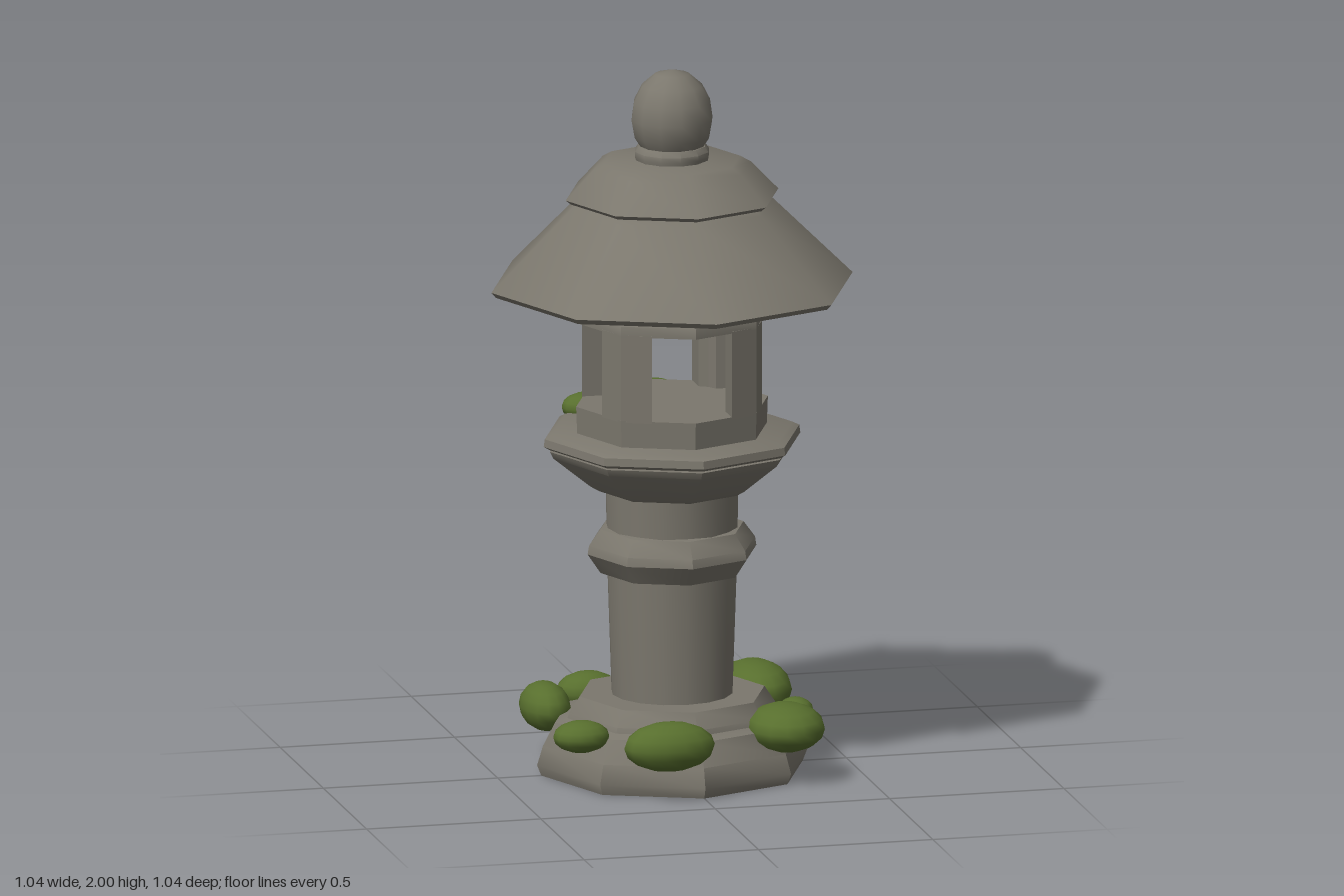
import * as THREE from 'three';
import { toCreasedNormals } from 'three/addons/utils/BufferGeometryUtils.js';

const stone = new THREE.MeshStandardMaterial({ color: 0x7b776d });
stone.name = 'weathered stone';
const moss = new THREE.MeshStandardMaterial({ color: 0x586f2e });
moss.name = 'moss green';

// Turned stone block: [radius, height] profile from bottom to top, octagon corners on the axes
function turned(name, profile, sides = 8) {
  const points = profile.map(([r, y]) => new THREE.Vector2(r, y));
  const geometry = toCreasedNormals(new THREE.LatheGeometry(points, sides), 0.7);
  const mesh = new THREE.Mesh(geometry, stone);
  mesh.name = name;
  return mesh;
}

// Flattened moss cushion
function cushion(name, [x, y, z, hx, hy, hz]) {
  const mesh = new THREE.Mesh(new THREE.SphereGeometry(1, 14, 8), moss);
  mesh.position.set(x, y, z);
  mesh.scale.set(hx, hy, hz);
  mesh.name = name;
  return mesh;
}

export function createModel() {
  const lantern = new THREE.Group();
  lantern.name = 'stoneLantern';

  // Foot and column
  lantern.add(
    turned('base', [[0, 0], [0.375, 0], [0.387, 0.03], [0.37, 0.085], [0.335, 0.15], [0.3, 0.16],
      [0.295, 0.175], [0.265, 0.22], [0, 0.22]]),
    turned('column', [[0.17, 0.21], [0.182, 0.57], [0.187, 0.82]], 16),
    turned('columnRing', [[0.17, 0.57], [0.205, 0.57], [0.242, 0.625], [0.238, 0.65], [0.205, 0.695], [0.17, 0.7]]),
  );

  // Platform: flared bowl and thin lip
  lantern.add(
    turned('platformBowl', [[0, 0.805], [0.21, 0.805], [0.235, 0.82], [0.34, 0.905], [0.35, 0.925], [0, 0.93]]),
    turned('platformLip', [[0, 0.925], [0.35, 0.93], [0.368, 0.94], [0.365, 0.962], [0.345, 0.972], [0, 0.98]]),
  );

  // Fire box: two bands joined by four corner posts with open windows between
  const fireBox = new THREE.Group();
  fireBox.name = 'fireBox';
  fireBox.add(
    turned('fireBoxSill', [[0, 0.97], [0.272, 0.97], [0.275, 1.05], [0, 1.05]]),
    turned('fireBoxHead', [[0, 1.29], [0.275, 1.29], [0.275, 1.32], [0.265, 1.335], [0, 1.335]]),
  );
  const postShape = new THREE.Shape(
    [[0.115, 0.155], [0.14, 0.14], [0.155, 0.115], [0.23, 0.115], [0.194, 0.194], [0.115, 0.23]]
      .map(([x, y]) => new THREE.Vector2(x, y)));
  const postGeometry = new THREE.ExtrudeGeometry(postShape, { depth: 0.25, bevelEnabled: false });
  postGeometry.rotateX(-Math.PI / 2);
  for (let i = 0; i < 4; i++) {
    const post = new THREE.Mesh(postGeometry, stone);
    post.name = 'cornerPost';
    post.position.y = 1.045;
    post.rotation.y = i * Math.PI / 2;
    fireBox.add(post);
  }
  lantern.add(fireBox);

  // Roof, cap and finial
  lantern.add(
    turned('roofNeck', [[0, 1.33], [0.24, 1.335], [0.285, 1.345], [0.298, 1.365], [0.298, 1.385]]),
    turned('roof', [[0, 1.375], [0.505, 1.375], [0.518, 1.39], [0.29, 1.615], [0.265, 1.63], [0, 1.635]]),
    turned('roofCap', [[0, 1.63], [0.29, 1.63], [0.305, 1.642], [0.225, 1.725], [0.195, 1.742], [0, 1.75]]),
    turned('finialNeck', [[0.1, 1.735], [0.106, 1.755], [0.106, 1.77], [0.095, 1.785], [0, 1.79]], 12),
    turned('finial', [[0, 1.772], [0.085, 1.775], [0.107, 1.81], [0.116, 1.86], [0.109, 1.91],
      [0.086, 1.955], [0.048, 1.988], [0, 2]], 12),
  );

  // Moss around the foot and on the back of the platform: x, y, z, half sizes
  const mossGroup = new THREE.Group();
  mossGroup.name = 'moss';
  [
    [-0.31, 0.155, 0.2, 0.08, 0.045, 0.065],
    [-0.1, 0.155, 0.375, 0.13, 0.07, 0.08],
    [0.27, 0.155, 0.225, 0.11, 0.068, 0.125],
    [0.35, 0.15, 0.02, 0.05, 0.037, 0.06],
    [0.3, 0.16, -0.25, 0.1, 0.073, 0.15],
    [-0.32, 0.155, -0.18, 0.07, 0.068, 0.11],
    [-0.16, 0.155, -0.33, 0.09, 0.055, 0.07],
  ].forEach((c) => mossGroup.add(cushion('footMoss', c)));
  [
    [0.22, 0.985, -0.26, 0.055, 0.033, 0.05],
    [0.03, 0.988, -0.335, 0.09, 0.046, 0.075],
    [-0.18, 0.982, -0.275, 0.068, 0.04, 0.055],
  ].forEach((c) => mossGroup.add(cushion('platformMoss', c)));
  lantern.add(mossGroup);

  return lantern;
}
